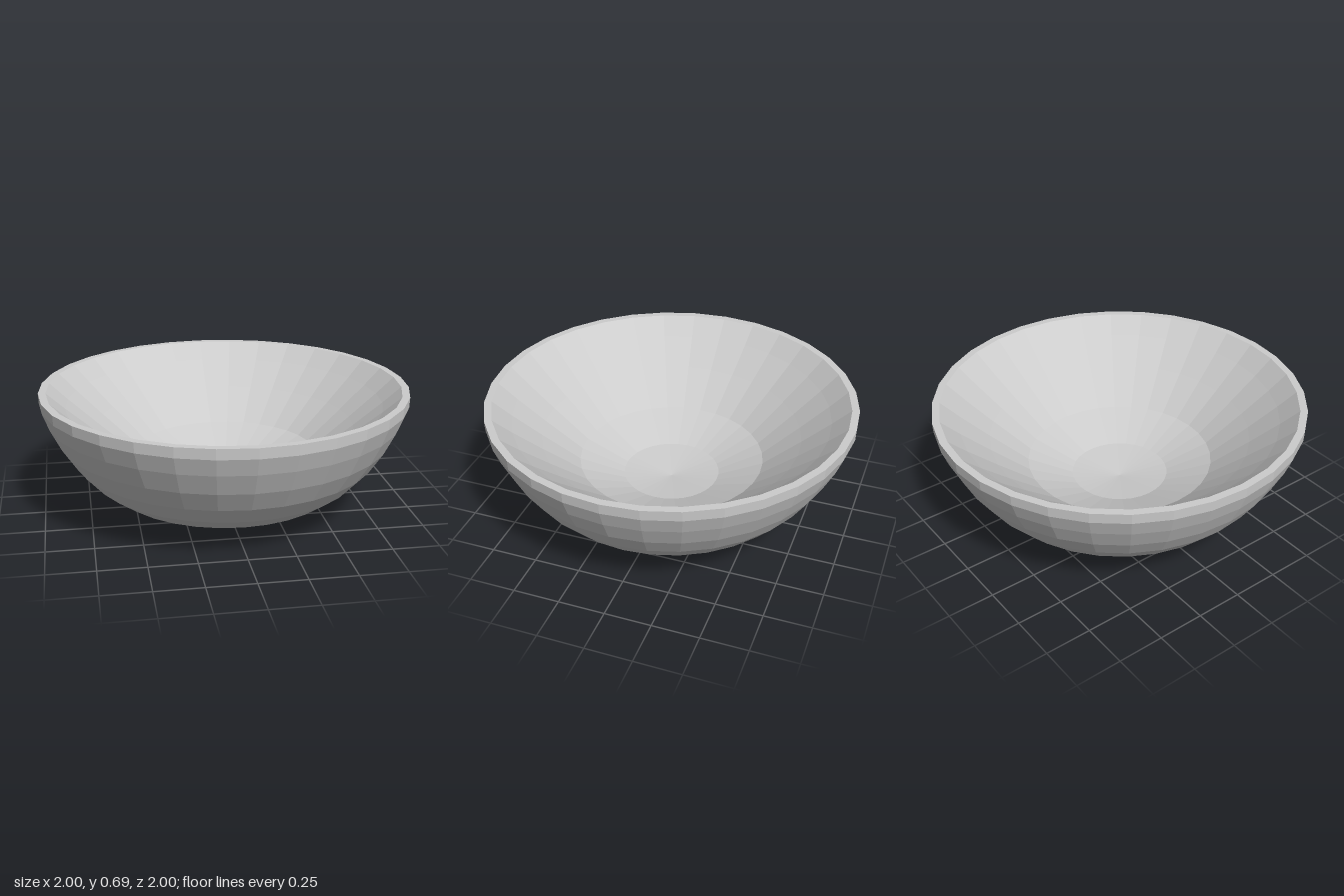
import * as THREE from 'three';

const SIDES = 32;

// Revolves a profile of [radius, height] pairs into a faceted surface
function lathe(name, profile) {
  const points = profile.map(([r, y]) => new THREE.Vector2(r, y));
  const material = new THREE.MeshStandardMaterial({ color: 0xcccccc, flatShading: true });
  const mesh = new THREE.Mesh(new THREE.LatheGeometry(points, SIDES), material);
  mesh.name = name;
  return mesh;
}

export function createModel() {
  const bowl = new THREE.Group();
  bowl.name = 'bowl';

  const rimY = 0.685, rimInner = 0.96;

  // Rounded outer shell, ending in a short upright band
  bowl.add(lathe('outerShell', [
    [0, 0], [0.17, 0.005], [0.335, 0.022], [0.485, 0.058], [0.62, 0.117],
    [0.735, 0.2], [0.83, 0.305], [0.905, 0.42], [0.963, 0.537], [0.998, 0.63], [1, rimY],
  ]));

  // Flat lip
  bowl.add(lathe('rim', [[1, rimY], [rimInner, rimY]]));

  // Nearly conical inner wall, flattening to a small shallow floor
  bowl.add(lathe('innerHollow', [
    [rimInner, rimY], [0.862, 0.595], [0.71, 0.465], [0.508, 0.3], [0.265, 0.2], [0, 0.165],
  ]));

  return bowl;
}
